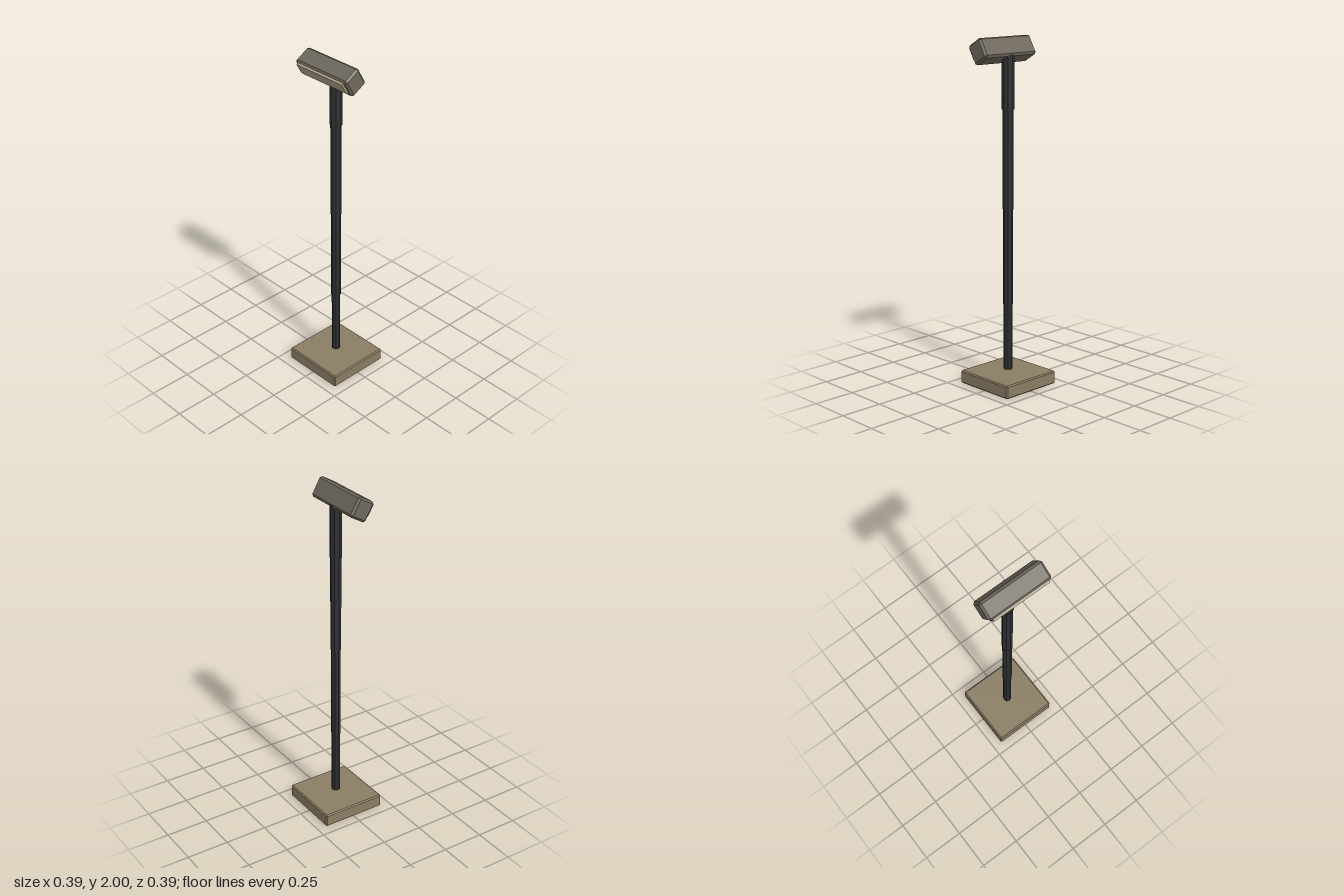
import * as THREE from 'three';
import { ConvexGeometry } from 'three/addons/geometries/ConvexGeometry.js';

const material = (name, color) => {
  const m = new THREE.MeshStandardMaterial({ color });
  m.name = name;
  return m;
};

// Box with every edge chamfered by b
function chamferBox(w, h, d, b) {
  const points = [];
  for (const x of [-1, 1]) for (const y of [-1, 1]) for (const z of [-1, 1])
    for (const axis of [0, 1, 2]) {
      const inset = [b, b, b];
      inset[axis] = 0;
      points.push(new THREE.Vector3(
        x * (w / 2 - inset[0]), y * (h / 2 - inset[1]), z * (d / 2 - inset[2])));
    }
  return new ConvexGeometry(points);
}

export function createModel() {
  const model = new THREE.Group();
  model.name = 'floorLamp';
  const tan = material('tan base', 0x8b7d64);
  const grey = material('warm grey housing', 0x6f695e);
  const black = material('black pole', 0x303134);
  const cream = material('cream diffuser', 0xa99d86);
  black.flatShading = true;

  const add = (parent, name, geometry, mat, x, y, z) => {
    const mesh = new THREE.Mesh(geometry, mat);
    mesh.name = name;
    mesh.position.set(x, y, z);
    parent.add(mesh);
    return mesh;
  };

  // Square foot
  add(model, 'base', chamferBox(0.388, 0.077, 0.388, 0.007), tan, 0, 0.0385, 0);

  // Pole in stepped sections, wider toward the top: bottom, top, radius
  const sections = [
    [0.09, 0.48, 0.025],
    [0.48, 1.035, 0.028],
    [1.035, 1.6, 0.031],
    [1.6, 1.905, 0.035],
  ];
  sections.forEach(([y0, y1, r], i) =>
    add(model, `poleSection${i + 1}`, new THREE.CylinderGeometry(r, r, y1 - y0, 8),
      black, 0, (y0 + y1) / 2, 0));

  // Lamp head tilted down toward the front
  const head = new THREE.Group();
  head.name = 'lampHead';
  head.position.set(0, 1.927, 0.0415);
  head.rotation.x = Math.PI / 6;
  model.add(head);
  add(head, 'housing', chamferBox(0.388, 0.12, 0.11, 0.012), grey, 0, 0, 0);
  add(head, 'diffuser', new THREE.BoxGeometry(0.346, 0.072, 0.02), cream, 0, 0.014, 0.057);

  return model;
}
